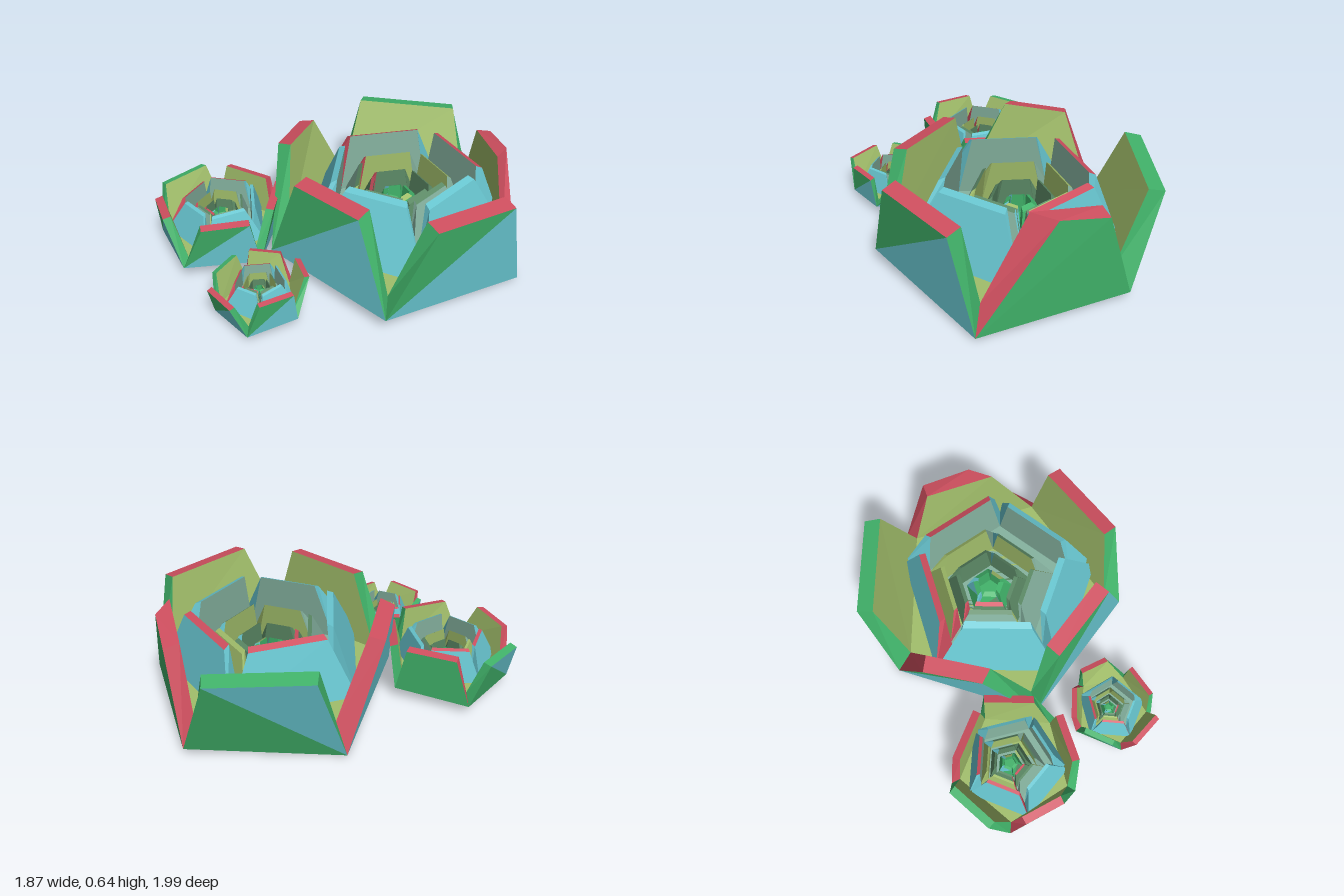
import * as THREE from 'three';

const COLORS = { green: 0x41b36a, teal: 0x68c6d0, red: 0xcf4f5f, olive: 0xa2bf6b, sage: 0x86b3a0, moss: 0x5c8a66 };
const NAMES = Object.keys(COLORS);

// point in polar coordinates: angle in degrees, clockwise from the back, seen from above
function polar(angle, r, y) {
  const a = THREE.MathUtils.degToRad(angle);
  return [r * Math.sin(a), y, -r * Math.cos(a)];
}

// collects coloured faces and makes one mesh with a group per colour
class FaceBuilder {
  constructor() { this.faces = {}; }
  tri(color, a, b, c) { (this.faces[color] ??= []).push(...a, ...b, ...c); }
  quad(color, a, b, c, d) { this.tri(color, a, b, c); this.tri(color, a, c, d); }
  mesh(name, materials) {
    const geo = new THREE.BufferGeometry();
    const pos = [];
    for (const [color, list] of Object.entries(this.faces)) {
      geo.addGroup(pos.length / 3, list.length / 3, NAMES.indexOf(color));
      pos.push(...list);
    }
    geo.setAttribute('position', new THREE.Float32BufferAttribute(pos, 3));
    geo.computeVertexNormals();
    const mesh = new THREE.Mesh(geo, materials);
    mesh.name = name;
    return mesh;
  }
}

// ring of five leaves: each rises from a pentagon edge to two top corners [angle, radius, height, flare]
function leafRing(name, materials, o) {
  const f = new FaceBuilder();
  const base = [0, 1, 2, 3, 4].map(i => polar(o.turn + i * 72, o.r, o.baseY[i]));
  const foot = [0, 1, 2, 3, 4].map(i => polar(o.turn + i * 72, o.footR, o.footY));
  const under = [0, o.baseY.reduce((s, y) => s + y) / 5, 0];
  for (let i = 0; i < 5; i++) {
    const j = (i + 1) % 5;
    const [a, b, fa, fb] = [base[i], base[j], foot[i], foot[j]];
    const [ta, tb] = o.tops[i].map(([ang, r, y]) => polar(ang, r, y));
    // the inner edge of the rim is a little wider and higher
    const [ia, ib] = o.tops[i].map(([ang, r, y, flare = o.flare], k) =>
      polar(ang + (k ? flare : -flare), r - o.thick, y + o.rise));
    const c = o.colors((i + o.shift) % 5);
    // outer face
    if (c.flip) {
      f.tri(c.upper, b, a, tb);
      f.tri(c.lower, a, ta, tb);
    } else {
      f.tri(c.upper, b, ta, tb);
      f.tri(c.lower, b, a, ta);
    }
    f.quad(c.rim, tb, ta, ia, ib);
    f.quad(c.inner, fa, fb, ib, ia);
    f.quad(c.sideA, a, fa, ia, ta);
    f.quad(c.sideB, fb, b, tb, ib);
    // underside and cup floor
    f.tri('olive', under, a, b);
    f.tri(c.inner, [0, o.footY, 0], fb, fa);
  }
  return f.mesh(name, materials);
}

const OUTER = i => ({
  upper: 'green',
  lower: i === 0 ? 'green' : 'teal',
  flip: i === 4,
  rim: i === 4 ? 'green' : 'red',
  inner: 'olive',
  sideA: i === 0 ? 'red' : 'green',
  sideB: i === 0 || i === 3 ? 'red' : 'green',
});

// inward-leaning inner rings; sizes are relative to the outer pentagon radius and the plant height
const INNER = [
  { r: 0.82, topR: 0.6, baseY: 0.3, topY: 0.91, thick: 0.05, footR: 0.6, footY: 0.3, offset: 0,
    colors: i => ({ upper: 'teal', lower: 'teal', rim: i === 4 || i === 0 ? 'red' : 'teal', inner: 'sage',
      sideA: i === 4 ? 'red' : 'teal', sideB: 'teal' }) },
  { r: 0.54, topR: 0.39, baseY: 0.32, topY: 0.74, thick: 0.03, footR: 0.4, footY: 0.3, offset: 0.04,
    colors: i => ({ upper: i === 4 || i === 0 ? 'olive' : 'sage', lower: i === 4 || i === 0 ? 'olive' : 'sage',
      rim: i === 4 || i === 0 ? 'olive' : 'moss', inner: 'olive',
      sideA: i === 4 ? 'red' : i === 1 ? 'teal' : 'olive', sideB: 'sage' }) },
  { r: 0.36, topR: 0.26, baseY: 0.32, topY: 0.62, thick: 0.03, footR: 0.25, footY: 0.3, offset: 0.05,
    colors: i => ({ upper: 'moss', lower: 'moss', rim: i === 3 ? 'red' : 'moss', inner: 'moss',
      sideA: i === 1 ? 'teal' : i === 4 ? 'red' : 'moss', sideB: 'moss' }) },
  { r: 0.2, topR: 0.13, baseY: 0.32, topY: 0.54, thick: 0.04, footR: 0.1, footY: 0.36, offset: 0.05,
    colors: i => ({ upper: i === 4 ? 'teal' : 'green', lower: i % 2 ? 'moss' : 'green', rim: i === 1 ? 'olive' : 'green',
      inner: 'green', sideA: 'teal', sideB: 'green' }) },
];
// leaves on the front and right lean further in
const LEAN = [1.05, 0.95, 0.86, 0.92, 1.03];

function rosette(spec, materials) {
  const g = new THREE.Group();
  g.name = spec.name;
  const { r, turn, height: h, floor, shift } = spec;
  g.add(leafRing('outerLeaves', materials, {
    turn, r, shift, baseY: spec.baseY, tops: spec.tops, thick: 0.11 * r, rise: 0.035 * h, flare: 3,
    footR: 0.86 * r, footY: floor + 0.22 * h, colors: OUTER,
  }));
  INNER.forEach((s, n) => {
    const start = turn - 18;
    const topY = floor + s.topY * h;
    const ring = leafRing('innerLeaves' + (n + 1), materials, {
      turn: start, r: s.r * r, shift, baseY: Array(5).fill(floor + s.baseY * h), flare: 1,
      tops: LEAN.map((lean, i) => [8, 64].map(d => [start + i * 72 + d, lean * s.topR * r, topY])),
      thick: s.thick * r, rise: 0.03 * h, footR: s.footR * r, footY: floor + s.footY * h, colors: s.colors,
    });
    ring.position.set(-s.offset * r, 0, -s.offset * r);
    g.add(ring);
  });
  g.position.set(spec.x, 0, spec.z);
  return g;
}

// shift moves the colour pattern round the plant
const PLANTS = [
  { name: 'largeRosette', x: 0.22, z: -0.21, r: 0.74, turn: 0, height: 0.56, floor: 0.04, shift: 0,
    baseY: [0.04, 0.02, 0.08, 0.08, 0],
    tops: [
      [[13, 0.68, 0.57], [37, 0.62, 0.62, 12]],
      [[83, 0.72, 0.58], [124, 0.7, 0.61]],
      [[159, 0.63, 0.62], [202, 0.63, 0.61]],
      [[240, 0.7, 0.62], [266, 0.74, 0.59]],
      [[304, 0.82, 0.58], [344, 0.82, 0.56]],
    ] },
  { name: 'mediumRosette', x: -0.55, z: 0.48, r: 0.37, turn: 21, height: 0.3, floor: 0.06, shift: 1,
    baseY: [0.08, 0.08, 0.08, 0.05, 0.06],
    tops: [
      [[27, 0.39, 0.35], [70, 0.36, 0.35]],
      [[101, 0.36, 0.35], [145, 0.35, 0.35]],
      [[187, 0.36, 0.35], [224, 0.36, 0.34]],
      [[254, 0.4, 0.32], [295, 0.4, 0.33]],
      [[323, 0.34, 0.35], [372, 0.35, 0.35]],
    ] },
  { name: 'smallRosette', x: 0.06, z: 0.73, r: 0.24, turn: 4, height: 0.2, floor: 0.045, shift: 1,
    baseY: [0.05, 0.06, 0.04, 0.04, 0.05],
    tops: [
      [[10, 0.27, 0.24], [44, 0.27, 0.24]],
      [[82, 0.24, 0.24], [130, 0.23, 0.24]],
      [[164, 0.27, 0.23], [208, 0.27, 0.23]],
      [[238, 0.25, 0.24], [278, 0.25, 0.24]],
      [[303, 0.26, 0.24], [342, 0.25, 0.24]],
    ] },
];

export function createModel() {
  const materials = NAMES.map(name => {
    const m = new THREE.MeshStandardMaterial({ color: COLORS[name] });
    m.name = name;
    return m;
  });
  const model = new THREE.Group();
  model.name = 'succulents';
  for (const p of PLANTS) model.add(rosette(p, materials));
  return model;
}
